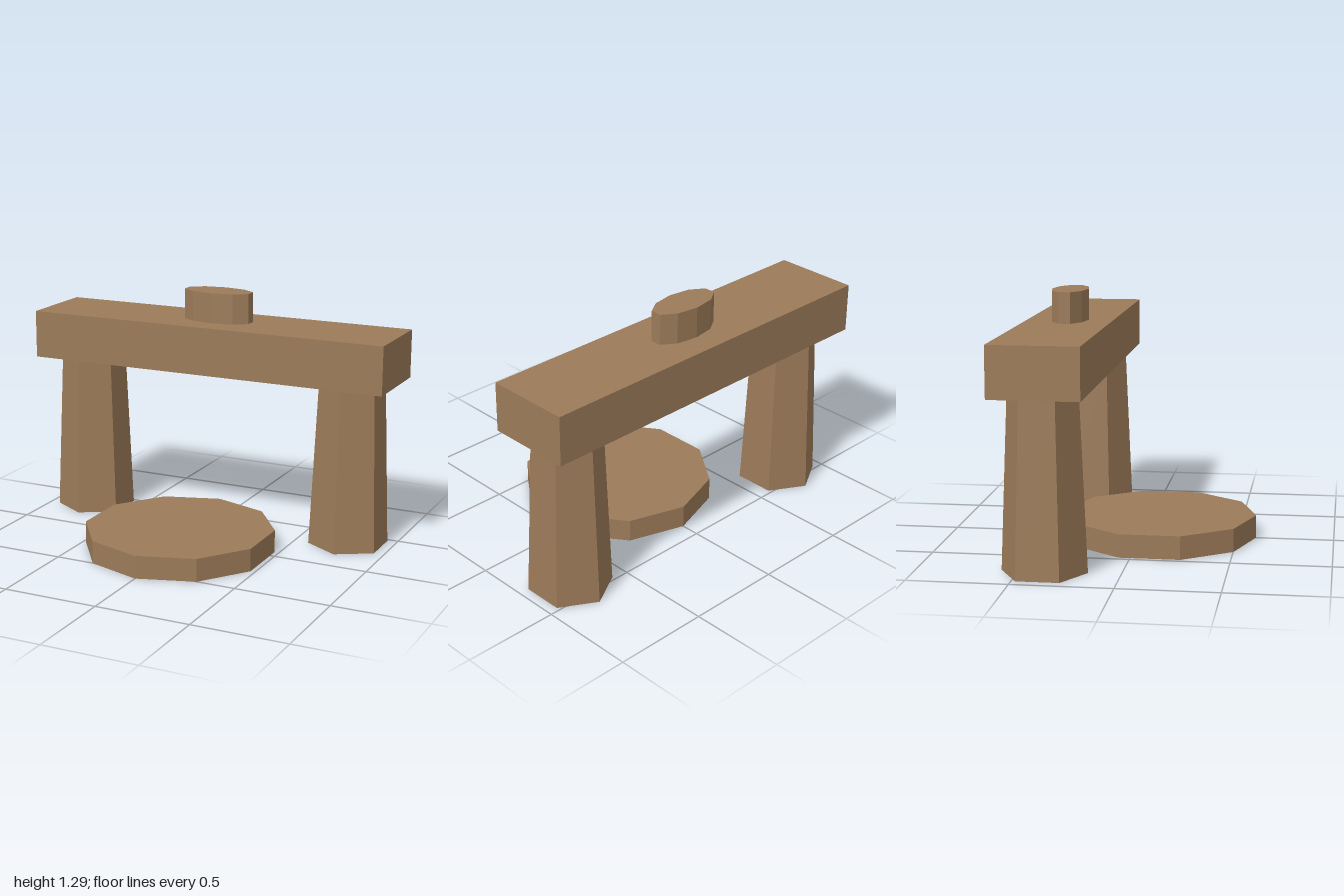
import * as THREE from 'three';

export function createModel() {
  const model = new THREE.Group();
  model.name = 'stoneGate';
  const stone = new THREE.MeshStandardMaterial({ color: 0x9c7b59, flatShading: true });
  stone.name = 'brown stone';

  const add = (name, geometry, x, y, z) => {
    const mesh = new THREE.Mesh(geometry, stone);
    mesh.name = name;
    mesh.position.set(x, y, z);
    model.add(mesh);
    return mesh;
  };

  const gateZ = -0.374;

  // Tapered six-sided pillars
  for (const [name, side] of [['leftPillar', 1], ['rightPillar', -1]]) {
    add(name, new THREE.CylinderGeometry(0.174, 0.212, 0.875, 6), side * 0.763, 0.4375, gateZ);
  }

  // Lintel resting on the pillars
  add('lintel', new THREE.BoxGeometry(2, 0.255, 0.445), 0, 1.0025, gateZ);

  // Oval ten-sided capstone
  add('capstone', new THREE.CylinderGeometry(0.195, 0.195, 0.16, 10), 0, 1.21, gateZ).scale.z = 0.485;

  // Ten-sided floor slab in front of the gate
  add('floorSlab', new THREE.CylinderGeometry(0.5, 0.5, 0.12, 10), 0, 0.06, 0.097);

  return model;
}
